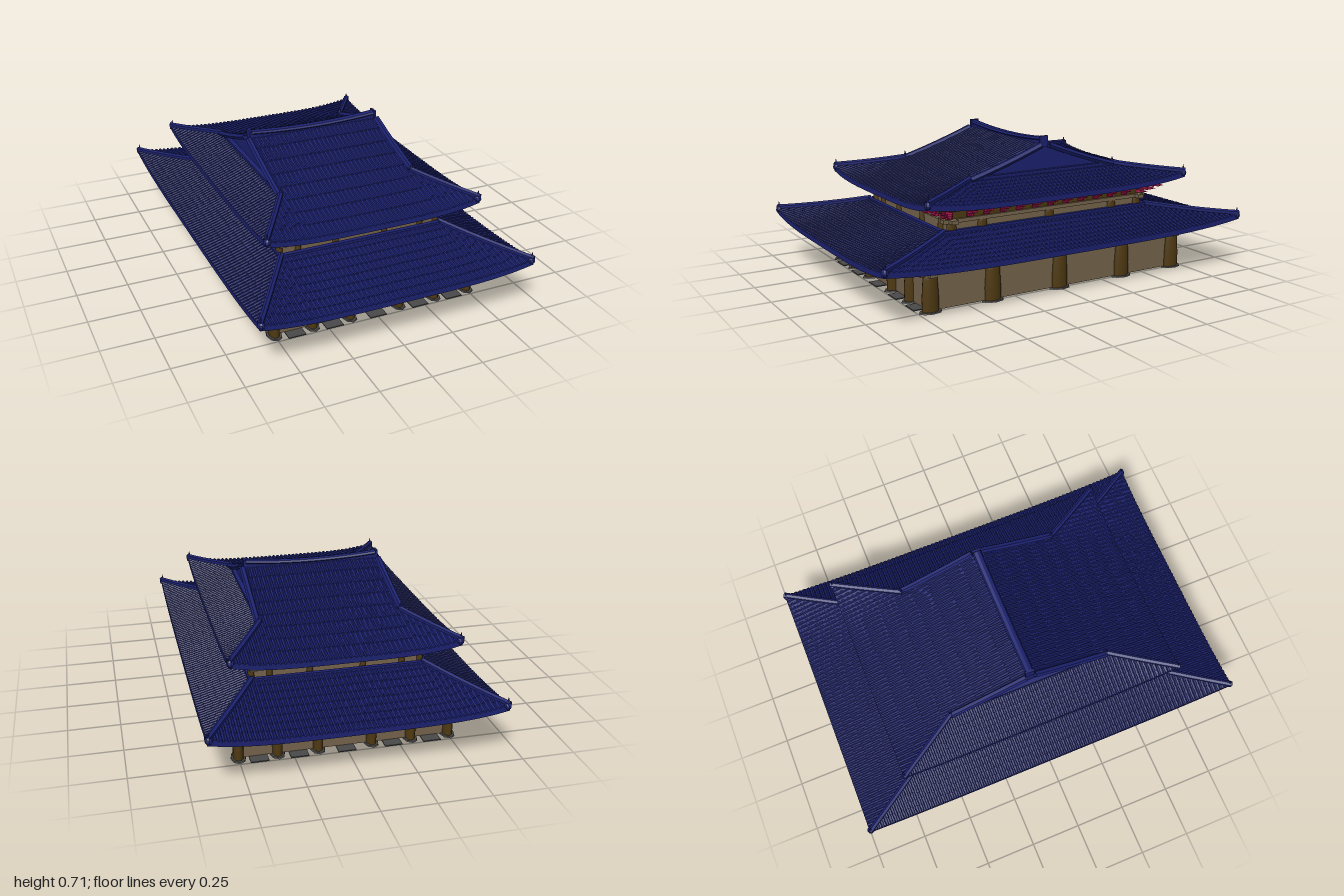
import * as THREE from 'three';
import { mergeGeometries } from 'three/addons/utils/BufferGeometryUtils.js';

const V = (x, y, z) => new THREE.Vector3(x, y, z);
const mat = (color, extra = {}) => new THREE.MeshStandardMaterial({ color, ...extra });
const tile = mat(0x1c2270, { flatShading: true, side: THREE.DoubleSide });
const wood = mat(0x4f3912), plaster = mat(0x75644c), red = mat(0xa8124a), stone = mat(0x4a4a4a);

function add(parent, name, geometries, material) {
  const parts = [].concat(geometries).map(g => (g.index ? g.toNonIndexed() : g));
  const mesh = new THREE.Mesh(parts.length > 1 ? mergeGeometries(parts) : parts[0], material);
  mesh.name = name;
  parent.add(mesh);
  return mesh;
}

const box = (w, h, d, x, y, z) => new THREE.BoxGeometry(w, h, d).translate(x, y, z);

// Four bars around a rectangle, with overhanging ends
const ring = (hx, hz, y0, y1, t, over = 0) => [1, -1].flatMap(s => [
  box(2 * (hx + over), y1 - y0, t, 0, (y0 + y1) / 2, s * hz),
  box(t, y1 - y0, 2 * (hz + over), s * hx, (y0 + y1) / 2, 0)]);

// Surface through rows of points
function grid(rows) {
  const n = rows[0].length, index = [];
  for (let i = 0; i < rows.length - 1; i++)
    for (let j = 0; j < n - 1; j++) {
      const a = i * n + j, b = a + n;
      index.push(a, a + 1, b, a + 1, b + 1, b);
    }
  const g = new THREE.BufferGeometry().setFromPoints(rows.flat());
  g.setAttribute('uv', new THREE.Float32BufferAttribute(new Float32Array(rows.length * n * 2), 2));
  g.setIndex(index);
  g.computeVertexNormals();
  return g;
}

// Roof slope facing +z: d = distance of eave and top, l = half width of eave and top,
// hip = s where the hips end, top = s at the upper edge
function slope({ d, l, hip, top, rise, lift }) {
  const f = s => Math.min(s / hip, 1);
  const half = s => l[0] + (l[1] - l[0]) * f(s);
  const point = (a, s, dy = 0) => V(a,
    rise(s) + lift * Math.min(Math.abs(a) / half(s), 1) ** 4 * (1 - f(s)) + dy,
    d[0] + (d[1] - d[0]) * s / top);
  return { l, hip, top, half, point };
}

function slopeGeometry(sl) {
  const { half, point, top, hip, l } = sl;
  const row = (s, dy) => Array.from({ length: 25 }, (_, j) => point((j / 12 - 1) * half(s), s, dy));
  // soffit, eave edge, then the deck
  const rows = [row(hip * 0.5, -0.03), row(0, -0.024)];
  for (let i = 0; i <= 12; i++) rows.push(row(top * i / 12, 0));
  const parts = [grid(rows)];
  // overlapping tile rolls running down the slope
  const count = Math.round(l[0] / 0.0115);
  for (let k = 0; k < count; k++) {
    const a = l[0] * ((2 * k + 1) / count - 1);
    const over = (l[0] - Math.abs(a)) / (l[0] - l[1]);
    const end = over >= 1 ? top : over * hip;
    const courses = Math.max(1, Math.round(8 * end / top));
    const arc = (s, r) => [0, 1, 2, 3].map(i => {
      const t = Math.PI * i / 3;
      return point(a, s).add(V(r * Math.cos(t), r * Math.sin(t), 0));
    });
    const rolls = [arc(0, 0)];
    for (let i = 0; i < courses; i++)
      rolls.push(arc(end * i / courses, 0.0085), arc(end * (i + 1) / courses, 0.006));
    parts.push(grid(rolls));
  }
  return parts;
}

// Two pairs of slopes plus hip ridges with upturned ends
function roof(name, front, side) {
  const g = new THREE.Group();
  g.name = name;
  [front, side, front, side].forEach((sl, i) => {
    add(g, i % 2 ? 'sideSlope' : 'mainSlope', slopeGeometry(sl), tile).rotation.y = i * Math.PI / 2;
  });
  const pts = [];
  for (let i = 0; i <= 6; i++) {
    const s = front.hip * i / 6;
    pts.push(front.point(front.half(s), s, 0.008));
  }
  const hips = [];
  for (const sx of [1, -1]) for (const sz of [1, -1]) {
    const path = pts.map(p => V(p.x * sx, p.y, p.z * sz));
    const e = path[0];
    hips.push(new THREE.TubeGeometry(new THREE.CatmullRomCurve3(path), 16, 0.014, 6));
    hips.push(new THREE.SphereGeometry(0.018, 8, 6).translate(e.x - sx * 0.008, e.y - 0.012, e.z - sz * 0.008));
    hips.push(new THREE.ConeGeometry(0.009, 0.035, 5).translate(e.x - sx * 0.006, e.y + 0.015, e.z - sz * 0.008));
  }
  add(g, 'hipRidges', hips, tile);
  return g;
}

// Columns round the perimeter, deeper than wide
function columns(xs, zs, y0, y1, r) {
  const h = y1 - y0;
  const profile = [[r, 0], [r * 1.02, h * 0.35], [r * 0.88, h * 0.8], [r * 0.75, h * 0.95], [r * 0.45, h], [0, h]]
    .map(p => new THREE.Vector2(...p));
  return perimeter(xs, zs).map(([x, z]) =>
    new THREE.LatheGeometry(profile, 14).scale(1, 1, 1.7).translate(x, y0, z));
}

const perimeter = (xs, zs) => [
  ...xs.flatMap(x => [[x, zs[0]], [x, zs.at(-1)]]),
  ...zs.slice(1, -1).flatMap(z => [[xs[0], z], [xs.at(-1), z]])];

// Stepped bracket set, facing +z with the wall at z = 0
function bracket(h, reach) {
  const parts = [], step = h / 3;
  for (let i = 0; i < 3; i++) {
    const y = step * (i + 0.5), out = reach * (i + 1) / 3;
    parts.push(box(0.03 + 0.022 * i, step * 0.6, 0.01, 0, y, out * 0.75));
    parts.push(box(0.011, step * 0.75, out + 0.03, 0, y, (out - 0.03) / 2));
    parts.push(new THREE.ConeGeometry(0.008, 0.03, 4).rotateX(Math.PI / 2).translate(0, y, out + 0.008));
  }
  parts.push(new THREE.ConeGeometry(0.012, 0.07, 4).rotateX(-Math.PI / 2).translate(0, h * 0.6, -0.06));
  return parts;
}

function brackets(hx, hz, y, h, rx, rz, nx, nz) {
  const out = [];
  const place = (reach, angle, x, z) => bracket(h, reach).forEach(p =>
    out.push(p.rotateY(angle).translate(x, y, z)));
  for (const s of [1, -1]) {
    for (let i = 0; i < nx; i++) place(rz, s > 0 ? 0 : Math.PI, hx * (2 * i / (nx - 1) - 1), s * hz);
    for (let i = 1; i < nz - 1; i++) place(rx, s * Math.PI / 2, s * hx, hz * (2 * i / (nz - 1) - 1));
    for (const t of [1, -1]) place((rx + rz) * 0.6, Math.atan2(t, s), t * hx, s * hz);
  }
  return out;
}

export function createModel() {
  const model = new THREE.Group();
  model.name = 'palaceHall';

  // Lower storey
  const xs = [-0.5, -0.315, -0.125, 0.13, 0.32, 0.5], zs = [-0.69, -0.37, 0, 0.37, 0.69];
  add(model, 'lowerWalls', ring(0.49, 0.69, 0.004, 0.19, 0.012), plaster);
  add(model, 'lowerLintels', ring(0.49, 0.69, 0.168, 0.188, 0.035, 0.05), plaster);
  add(model, 'lowerColumns', columns(xs, zs, 0, 0.19, 0.024), wood);
  add(model, 'columnBases', perimeter(xs, zs).map(([x, z]) =>
    new THREE.CylinderGeometry(0.034, 0.036, 0.006, 8).scale(1, 1, 1.6).translate(x, 0.003, z)), stone);
  add(model, 'doorSteps', xs.slice(1).flatMap((x, i) => [1, -1].map(s =>
    box(0.085, 0.005, 0.06, (x + xs[i]) / 2, 0.0025, s * 0.72))), stone);
  add(model, 'lowerFrieze', [...ring(0.49, 0.69, 0.188, 0.27, 0.014), ...ring(0.55, 0.76, 0.225, 0.237, 0.014)], wood);
  add(model, 'lowerBrackets', brackets(0.49, 0.69, 0.188, 0.045, 0.08, 0.09, 12, 15), red);

  // Lower roof
  const low = { hip: 1, top: 1, lift: 0.034, rise: s => 0.238 + 0.065 * s + 0.022 * s * s };
  const lowFront = slope({ ...low, d: [0.985, 0.57], l: [0.672, 0.41] });
  const lowSide = slope({ ...low, d: [0.672, 0.41], l: [0.985, 0.57] });
  model.add(roof('lowerRoof', lowFront, lowSide));
  add(model, 'lowerRoofRidge', ring(0.415, 0.575, 0.315, 0.335, 0.022, 0.011), tile);

  // Upper storey
  const ux = [-0.405, -0.315, -0.125, 0.13, 0.32, 0.405], uz = [-0.53, -0.37, 0, 0.37, 0.53];
  add(model, 'upperWalls', ring(0.4, 0.53, 0.29, 0.39, 0.012), plaster);
  add(model, 'upperLintels', ring(0.4, 0.53, 0.366, 0.384, 0.035, 0.045), plaster);
  add(model, 'upperColumns', columns(ux, uz, 0.23, 0.385, 0.016), wood);
  add(model, 'upperFrieze', [...ring(0.4, 0.53, 0.384, 0.47, 0.014), ...ring(0.46, 0.61, 0.432, 0.447, 0.014)], wood);
  add(model, 'upperBrackets', brackets(0.4, 0.53, 0.386, 0.055, 0.075, 0.12, 10, 13), red);

  // Upper hip-and-gable roof
  const high = { hip: 0.44, lift: 0.032, rise: s => 0.462 + 0.14 * s + 0.073 * s * s };
  const highFront = slope({ ...high, top: 1, d: [0.725, 0], l: [0.535, 0.34] });
  const highSide = slope({ ...high, top: 0.44, d: [0.535, 0.33], l: [0.725, 0.406] });
  const upper = roof('upperRoof', highFront, highSide);
  upper.position.z = -0.01;
  model.add(upper);

  // Gables with sloping verge ridges
  const verge = Array.from({ length: 7 }, (_, i) => highFront.point(0, 0.44 + 0.53 * i / 6));
  const outline = [...verge.map(p => [p.z, p.y]), ...verge.map(p => [-p.z, p.y]).reverse()];
  const gables = [], verges = [];
  for (const s of [1, -1]) {
    gables.push(new THREE.ShapeGeometry(new THREE.Shape(outline.map(p => new THREE.Vector2(...p))))
      .rotateY(Math.PI / 2).translate(s * 0.328, 0, 0));
    verges.push(box(0.025, 0.016, 0.8, s * 0.338, 0.54, 0));
    for (const t of [1, -1]) {
      const path = verge.map(p => V(s * 0.348, p.y + 0.002, t * p.z));
      verges.push(new THREE.TubeGeometry(new THREE.CatmullRomCurve3(path), 16, 0.016, 6));
      verges.push(new THREE.ConeGeometry(0.012, 0.04, 5).translate(s * 0.342, 0.558, t * 0.41));
    }
  }
  add(upper, 'gables', gables, tile);
  add(upper, 'vergeRidges', verges, tile);

  // Sagging main ridge with a rounded cap
  const r = new THREE.Shape();
  r.moveTo(-0.335, 0.655);
  r.lineTo(0.335, 0.655);
  r.lineTo(0.335, 0.7);
  r.quadraticCurveTo(0, 0.668, -0.335, 0.7);
  const cap = new THREE.QuadraticBezierCurve3(V(-0.338, 0.697, 0), V(0, 0.665, 0), V(0.338, 0.697, 0));
  add(upper, 'mainRidge', [
    new THREE.ExtrudeGeometry(r, { depth: 0.036, bevelEnabled: false, curveSegments: 16 }).translate(0, 0, -0.018),
    new THREE.TubeGeometry(cap, 20, 0.012, 8).scale(1, 1, 1.9),
    ...[1, -1].map(s => box(0.012, 0.055, 0.046, s * 0.337, 0.684, 0))], tile);

  return model;
}
